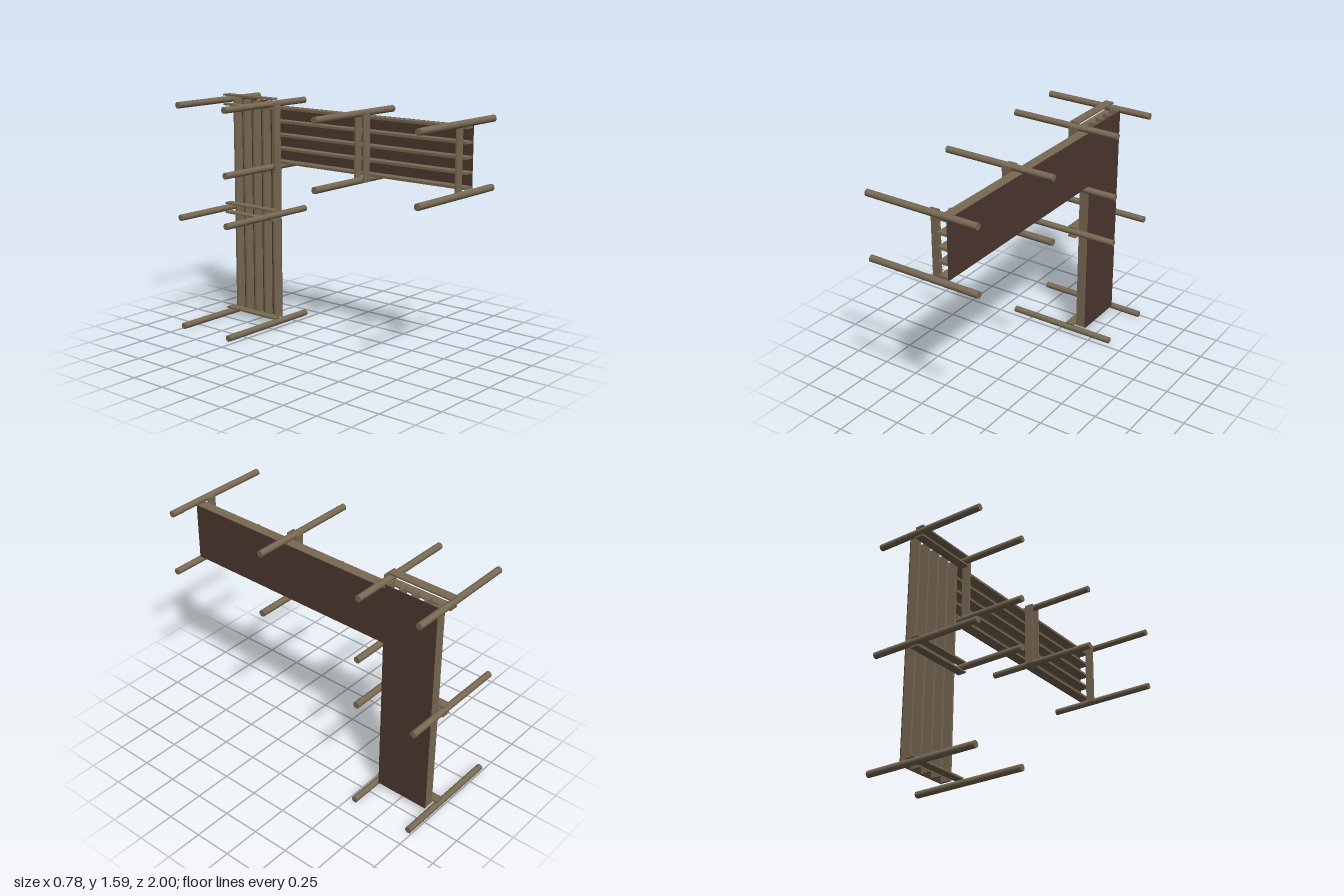
import * as THREE from 'three';

export function createModel() {
  const group = new THREE.Group();
  const wood = new THREE.MeshStandardMaterial({ color: 0x786953 });
  wood.name = 'wood';
  const sheet = new THREE.MeshStandardMaterial({ color: 0x4d382f });
  sheet.name = 'brown sheeting';

  // Box given by its limits on each axis
  function box(name, material, x0, x1, y0, y1, z0, z1) {
    const mesh = new THREE.Mesh(new THREE.BoxGeometry(x1 - x0, y1 - y0, z1 - z0), material);
    mesh.position.set((x0 + x1) / 2, (y0 + y1) / 2, (z0 + z1) / 2);
    mesh.name = name;
    group.add(mesh);
  }

  // Round cross poles: [y, z]
  const poleGeometry = new THREE.CylinderGeometry(0.022, 0.022, 0.784, 16).rotateZ(Math.PI / 2);
  const poles = [
    [1.551, 0.978], [1.124, 0.978], [1.551, 0.213], [1.124, 0.213],
    [1.551, -0.548], [1.124, -0.548], [1.551, -0.978],
    [0.788, -0.548], [0.788, -0.978], [0.022, -0.548], [0.022, -0.978],
  ];
  for (const [y, z] of poles) {
    const pole = new THREE.Mesh(poleGeometry, wood);
    pole.position.set(0, y, z);
    pole.name = 'crossPole';
    group.add(pole);
  }

  // Sheeting on the outer side of the horizontal and upright arms
  box('horizontalPanel', sheet, 0.174, 0.18, 1.147, 1.529, -0.575, 0.975);
  box('uprightPanel', sheet, 0.174, 0.18, 0.037, 1.555, -0.95, -0.575);

  // Five joists behind each panel
  for (let i = 0; i < 5; i++) {
    const y = 1.155 + i * 0.0915;
    box('horizontalJoist', wood, 0.105, 0.174, y - 0.008, y + 0.008, -0.57, 0.973);
    const z = -0.942 + i * 0.09;
    box('uprightJoist', wood, 0.105, 0.174, 0.04, 1.553, z - 0.008, z + 0.008);
  }

  // Flat battens beside the poles, behind the joists
  for (const z of [0.944, 0.246, 0.18, -0.515]) {
    box('verticalBatten', wood, 0.045, 0.105, 1.112, 1.563, z - 0.006, z + 0.006);
  }
  for (const y of [0.056, 0.755, 0.821, 1.518, 1.584]) {
    box('levelBatten', wood, 0.045, 0.105, y - 0.006, y + 0.006, -0.988, -0.535);
  }
  return group;
}
